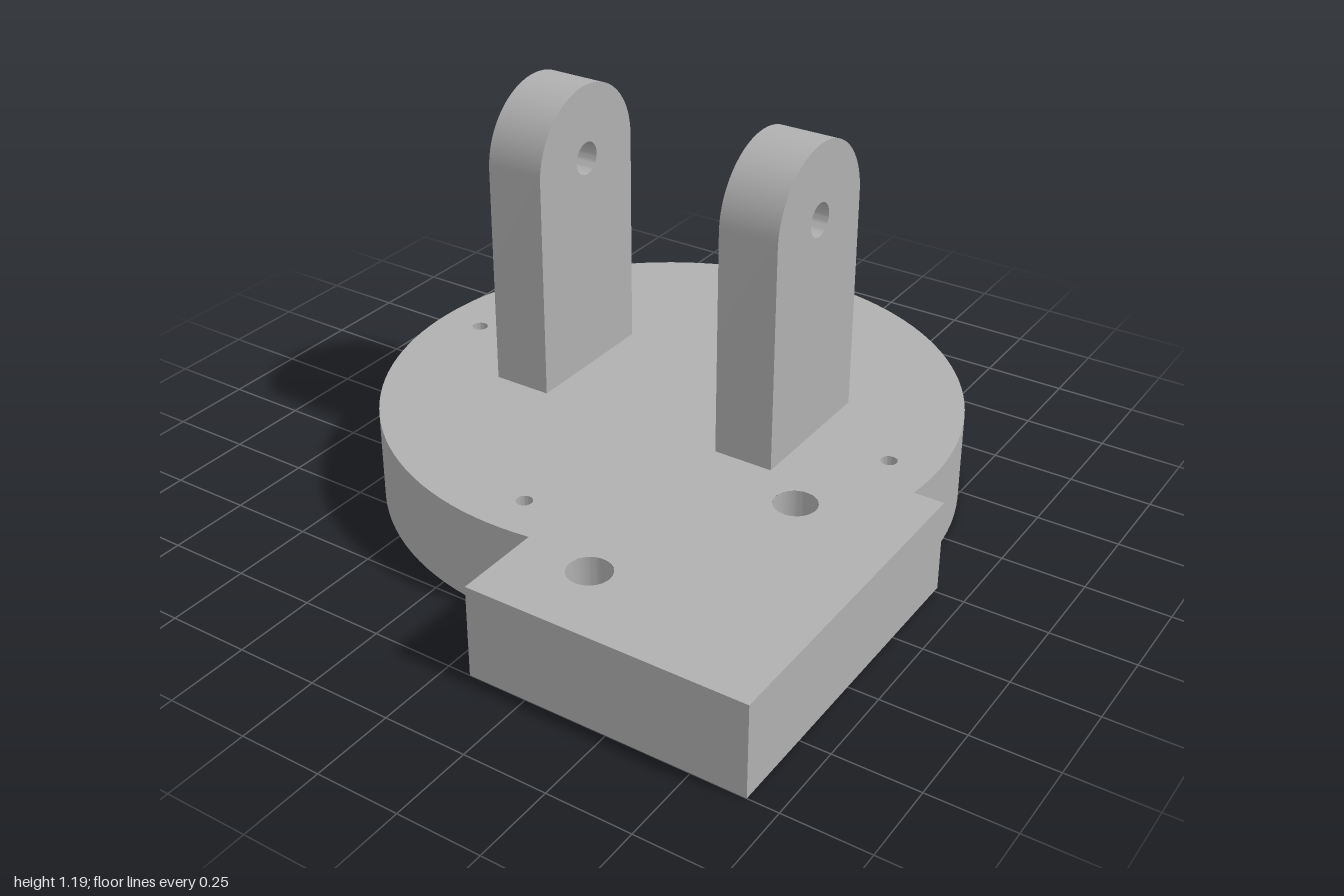
import * as THREE from 'three';
import { toCreasedNormals, mergeGeometries } from 'three/addons/utils/BufferGeometryUtils.js';

const HEIGHT = 0.28;
const CX = -0.045, CZ = -0.13, R = 0.87;   // disc centre and radius
const BOLT_CIRCLE = 0.73, SCREW_R = 0.024, BORE_R = 0.06, BORE_DEPTH = 0.14;
const PIN_R = 0.063;

const pinHoles = [[0.575, 0.205], [0.293, 0.77]];
const screwHoles = [0, 1, 2, 3].map(i => [
  CX + BOLT_CIRCLE * Math.cos(i * Math.PI / 2),
  CZ + BOLT_CIRCLE * Math.sin(i * Math.PI / 2),
]);

// Disc joined to a square corner block; shape y is -z
function baseOutline() {
  const left = 0.07, right = 0.91, back = -0.02;
  const a0 = Math.asin((CZ - back) / R);
  const a1 = 2 * Math.PI - Math.acos((left - CX) / R);
  const s = new THREE.Shape();
  s.moveTo(left, -1);
  s.lineTo(right, -1);
  s.lineTo(right, -back);
  s.absarc(CX, -CZ, R, a0, a1, false);
  s.closePath();
  return s;
}

function addHole(shape, x, y, r) {
  shape.holes.push(new THREE.Path().absarc(x, y, r, 0, Math.PI * 2, true));
}

// Flat face of the base with its holes
function baseFace(screwRadius, y, down) {
  const s = baseOutline();
  pinHoles.forEach(([x, z]) => addHole(s, x, -z, PIN_R));
  screwHoles.forEach(([x, z]) => addHole(s, x, -z, screwRadius));
  const g = new THREE.ShapeGeometry(s, 48);
  if (down) {
    g.index.array.reverse();
    g.computeVertexNormals();
  }
  return g.rotateX(-Math.PI / 2).translate(0, y, 0).toNonIndexed();
}

// Only the side walls of the extruded outline
function baseWall() {
  const full = new THREE.ExtrudeGeometry(baseOutline(), { depth: HEIGHT, bevelEnabled: false, curveSegments: 48 });
  const side = full.groups.find(g => g.materialIndex === 1);
  const wall = new THREE.BufferGeometry();
  for (const name of ['position', 'normal', 'uv']) {
    const a = full.getAttribute(name), n = a.itemSize;
    const part = a.array.slice(side.start * n, (side.start + side.count) * n);
    wall.setAttribute(name, new THREE.BufferAttribute(part, n));
  }
  return toCreasedNormals(wall.rotateX(-Math.PI / 2), 0.09);
}

// Inward-facing bore wall, profile listed from top to bottom
function bore(profile, [x, z]) {
  const g = new THREE.LatheGeometry(profile.map(p => new THREE.Vector2(...p)), 48);
  return toCreasedNormals(g.translate(x, 0, z), 0.5);
}

// Round-topped lug with a pivot hole
function lugGeometry(width) {
  const r = 0.226, pivotY = 0.96;
  const s = new THREE.Shape();
  s.moveTo(-r, HEIGHT);
  s.lineTo(r, HEIGHT);
  s.lineTo(r, pivotY);
  s.absarc(0, pivotY, r, 0, Math.PI, false);
  s.closePath();
  addHole(s, 0, pivotY, 0.05);
  const g = new THREE.ExtrudeGeometry(s, { depth: width, bevelEnabled: false, curveSegments: 24 });
  return toCreasedNormals(g.translate(0, 0, -width / 2).rotateY(Math.PI / 2), 0.5);
}

export function createModel() {
  const model = new THREE.Group();
  model.name = 'pivotBracket';
  const grey = new THREE.MeshStandardMaterial({ color: 0xb0b0b0 });
  grey.name = 'grey';

  const add = (name, geometry) => {
    const mesh = new THREE.Mesh(geometry, grey);
    mesh.name = name;
    model.add(mesh);
    return mesh;
  };

  // Base plate
  add('basePlate', mergeGeometries([
    baseFace(SCREW_R, HEIGHT, false),
    baseFace(BORE_R, 0, true),
    baseWall(),
  ]));

  // Straight pin holes, and screw holes counterbored from below
  pinHoles.forEach(p => add('pinHole', bore([[PIN_R, HEIGHT], [PIN_R, 0]], p)));
  const stepped = [[SCREW_R, HEIGHT], [SCREW_R, BORE_DEPTH], [BORE_R, BORE_DEPTH], [BORE_R, 0]];
  screwHoles.forEach(p => add('screwHole', bore(stepped, p)));

  // Pair of lugs
  const lug = lugGeometry(0.182);
  for (const side of [-1, 1]) {
    add(side < 0 ? 'rightLug' : 'leftLug', lug).position.set(CX + side * 0.388, 0, -0.128);
  }
  return model;
}
